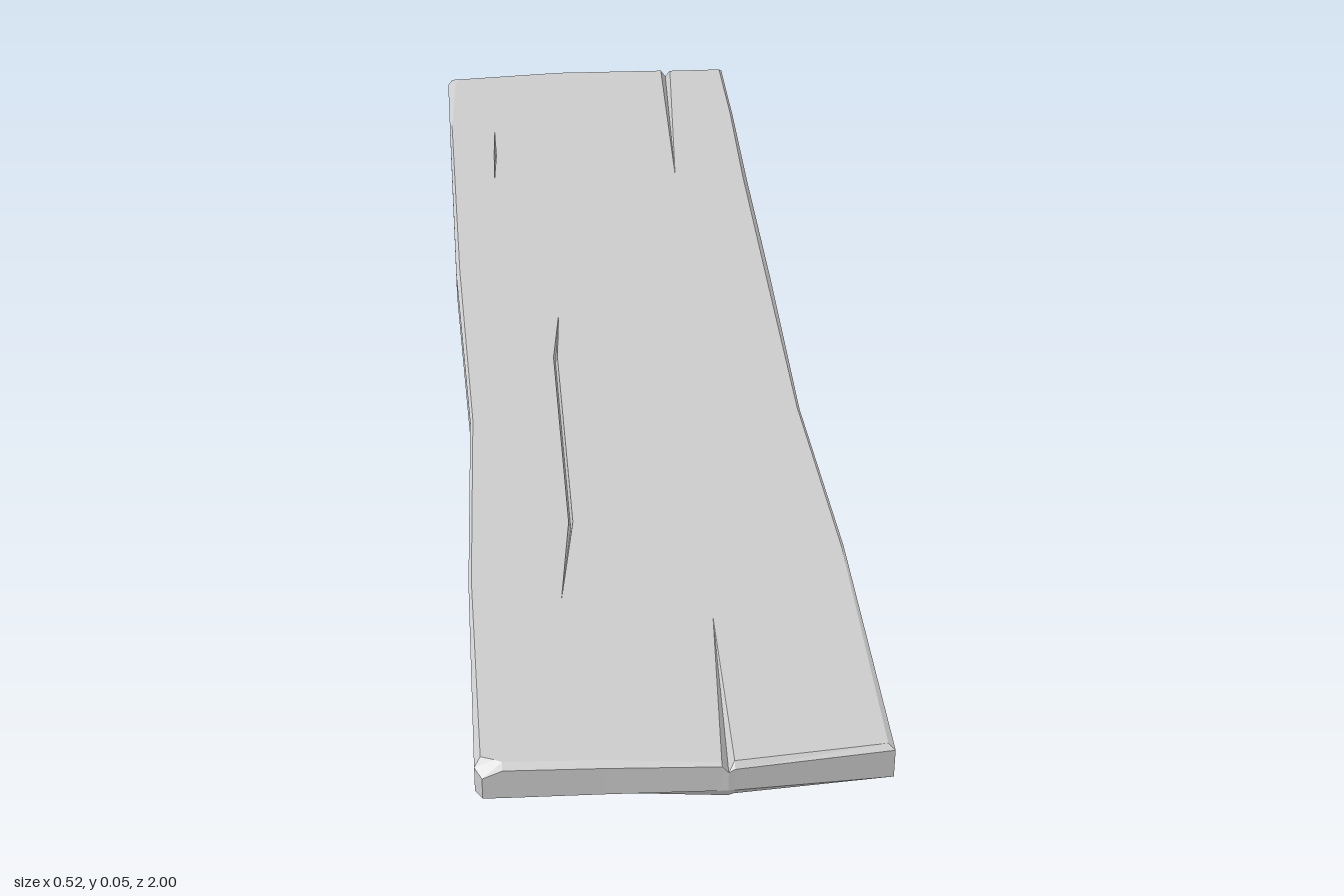
import * as THREE from 'three';

const TOP = 0.052;

// Plank outline seen from above, running from the front right corner round the back.
// Each entry: x, z, lower bevel height, upper bevel height, bevel inset
const OUTLINE = [
  [0.258, 0.978, 0.005, 0.047, 0.008],
  [0.258, 0.55, 0.004, 0.049, 0.004],
  [0.245, 0.2, 0.004, 0.048, 0.004],
  [0.252, -0.2, 0.006, 0.044, 0.008],
  [0.255, -0.55, 0.01, 0.042, 0.008],
  [0.258, -0.8, 0.006, 0.046, 0.005],
  [0.258, -0.992, 0.004, 0.047, 0.005],
  [0.160, -0.994, 0.005, 0.048, 0.006],
  [0.152, -0.995, 0.005, 0.038, 0.006, 0.13, -0.56], // back split, with its tip
  [0.143, -0.996, 0.005, 0.048, 0.006],
  [-0.05, -1.0, 0.008, 0.049, 0.005],
  [-0.25, -0.992, 0.005, 0.046, 0.012],
  [-0.258, -0.975, 0.005, 0.044, 0.014],
  [-0.258, -0.78, 0.004, 0.048, 0.004],
  [-0.257, -0.25, 0.005, 0.046, 0.006],
  [-0.245, 0.2, 0.005, 0.048, 0.004],
  [-0.257, 0.6, 0.004, 0.049, 0.004],
  [-0.259, 0.965, 0.005, 0.042, 0.008],
  [-0.25, 0.98, 0.005, 0.036, 0.016],
  [-0.225, 0.981, 0.005, 0.048, 0.012],
  [-0.1, 0.987, 0.008, 0.049, 0.012],
  [0.042, 0.996, 0.012, 0.050, 0.006],
  [0.05, 0.997, 0.013, 0.041, 0.006, 0.062, 0.7], // front split, with its tip
  [0.058, 0.996, 0.012, 0.045, 0.008],
];

// Closed cracks in the upper face: centre line as x, z and half width
const CRACKS = [
  [[-0.178, -0.76, 0], [-0.18, -0.66, 0.002], [-0.184, -0.57, 0]],
  [[-0.098, -0.1, 0], [-0.11, 0.03, 0.003], [-0.112, 0.47, 0.003], [-0.135, 0.65, 0]],
];

function createPlankGeometry() {
  const positions = [];
  const tri = (...corners) => corners.forEach((p) => positions.push(p.x, p.y, p.z));
  // Adds a triangle turned to face up (1) or down (-1)
  const facing = (a, b, c, dir) => {
    const ny = (b.z - a.z) * (c.x - a.x) - (b.x - a.x) * (c.z - a.z);
    if (ny * dir > 0) tri(a, b, c);
    else tri(a, c, b);
  };
  const cap = (contour, holes, dir) => {
    const flat = (ring) => ring.map((p) => new THREE.Vector2(p.x, -p.z));
    const all = [contour, ...holes].flat();
    for (const [a, b, c] of THREE.ShapeUtils.triangulateShape(flat(contour), holes.map(flat))) {
      facing(all[a], all[b], all[c], dir);
    }
  };
  const inset = ([x, z, , , d], y) => new THREE.Vector3(
    Math.abs(x) > 0.23 ? x - Math.sign(x) * d : x, y,
    Math.abs(z) > 0.96 ? z - Math.sign(z) * d : z);

  // Four rings: underside, lower bevel, upper bevel, upper face
  const rings = [
    OUTLINE.map((p) => inset(p, 0)),
    OUTLINE.map((p) => new THREE.Vector3(p[0], p[2], p[1])),
    OUTLINE.map((p) => new THREE.Vector3(p[0], p[3], p[1])),
    OUTLINE.map((p) => (p.length > 5 ? new THREE.Vector3(p[5], TOP, p[6]) : inset(p, TOP))),
  ];

  // Sides and bevels; the end splits open where the upper ring runs in to a tip
  for (let r = 0; r < 3; r++) {
    for (let i = 0; i < OUTLINE.length; i++) {
      const j = (i + 1) % OUTLINE.length;
      const [a, b, c, d] = [rings[r][i], rings[r][j], rings[r + 1][j], rings[r + 1][i]];
      if (OUTLINE[j].length > 5) {
        tri(a, b, d);
        tri(b, c, d);
      } else {
        tri(a, b, c);
        tri(a, c, d);
      }
    }
  }

  // V-shaped cracks
  const holes = CRACKS.map((path) => {
    const edge = (side) => path.map(([x, z, w]) => new THREE.Vector3(x + side * w, TOP, z));
    const floor = path.map(([x, z, w]) => new THREE.Vector3(x, w ? TOP - 0.012 : TOP, z));
    const left = edge(-1);
    const right = edge(1);
    for (const rim of [left, right]) {
      for (let i = 0; i < path.length - 1; i++) {
        if (path[i][2]) facing(rim[i], floor[i], rim[i + 1], 1);
        if (path[i + 1][2]) facing(floor[i], floor[i + 1], rim[i + 1], 1);
        else facing(rim[i], floor[i], floor[i + 1], 1);
      }
    }
    return [...left, ...right.slice(1, -1).reverse()];
  });

  cap(rings[0], [], -1);
  cap(rings[3], holes, 1);

  const geometry = new THREE.BufferGeometry();
  geometry.setAttribute('position', new THREE.Float32BufferAttribute(positions, 3));
  geometry.computeVertexNormals();
  return geometry;
}

export function createModel() {
  const group = new THREE.Group();
  group.name = 'woodenPlank';
  const material = new THREE.MeshStandardMaterial({ color: 0xcccccc, flatShading: true });
  const plank = new THREE.Mesh(createPlankGeometry(), material);
  plank.name = 'plank';
  group.add(plank);
  return group;
}
